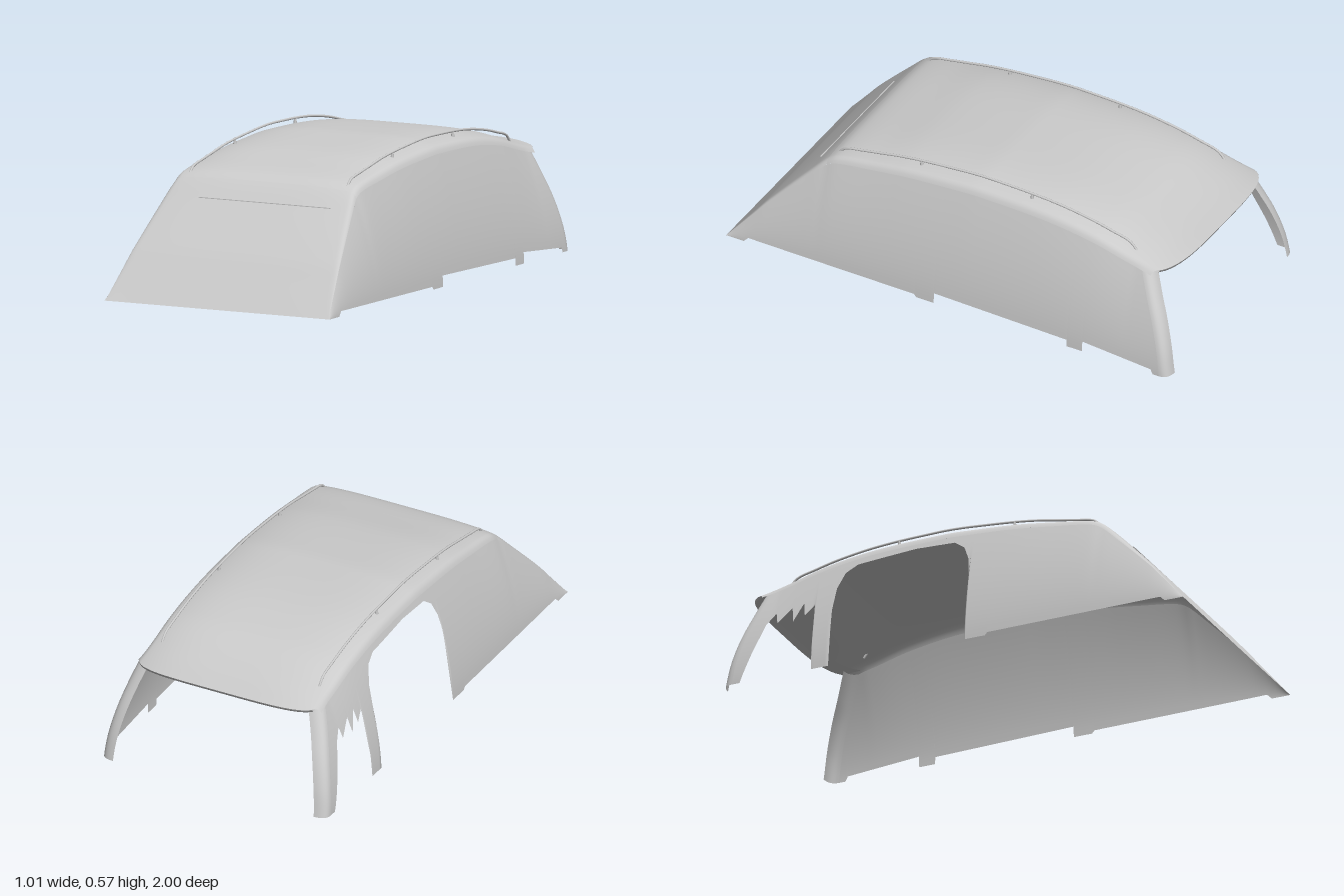
import * as THREE from 'three';

const V = (x, y, z) => new THREE.Vector3(x, y, z);
const material = new THREE.MeshStandardMaterial({ color: 0xcccccc, side: THREE.DoubleSide });

// Interpolates [z, value] points listed from front to rear, straight or smooth
function along(points, smooth = false) {
  const n = points.length;
  const slope = i => {
    const a = points[Math.max(i - 1, 0)], b = points[Math.min(i + 1, n - 1)];
    return (b[1] - a[1]) / (b[0] - a[0]);
  };
  return z => {
    let i = 0;
    while (i < n - 2 && z < points[i + 1][0]) i++;
    const [z0, a] = points[i], [z1, b] = points[i + 1], h = z1 - z0;
    const t = THREE.MathUtils.clamp((z - z0) / h, 0, 1);
    if (!smooth) return a + (b - a) * t;
    const t2 = t * t, t3 = t2 * t;
    return a * (2 * t3 - 3 * t2 + 1) + b * (3 * t2 - 2 * t3)
      + h * (slope(i) * (t3 - 2 * t2 + t) + slope(i + 1) * (t3 - t2));
  };
}

// Skin through rows of points
function sheet(rows, flip = false) {
  const w = rows[0].length, index = [];
  for (let i = 0; i < rows.length - 1; i++) {
    for (let j = 0; j < w - 1; j++) {
      const a = i * w + j, b = a + 1, c = a + w, d = c + 1;
      index.push(...(flip ? [a, c, b, b, c, d] : [a, b, c, b, d, c]));
    }
  }
  const g = new THREE.BufferGeometry().setFromPoints(rows.flat());
  g.setIndex(index);
  g.computeVertexNormals();
  return g;
}

// Centre line of windscreen and roof, and the drop from it to the roof edge
const crown = along([[1, 0], [0.9, 0.125], [0.84, 0.2], [0.68, 0.375], [0.6, 0.457], [0.55, 0.483],
  [0.4, 0.514], [0.25, 0.54], [0, 0.562], [-0.1, 0.566], [-0.39, 0.554], [-0.6, 0.522],
  [-0.76, 0.478], [-0.87, 0.452], [-0.97, 0.436]], true);
const drop = along([[1, 0], [0.6, 0.015], [0.3, 0.03], [-0.1, 0.036], [-0.87, 0.032]]);
const edgeY = z => crown(z) - drop(z);
const edgeX = z => 0.4 + 0.1 * Math.max(0, (z - 0.6) / 0.4);

// Half width of the body at a height
function sideX(y, z) {
  const t = y / Math.max(edgeY(Math.max(z, -0.8)), 1e-4);
  return 0.505 - (0.505 - edgeX(z)) * Math.pow(Math.max(t, 0), 1.6);
}

// Roof point at u = -1..1 across; the tail bows out rearwards
function roofPoint(u, z) {
  const bow = 0.1 * Math.pow(1 - u ** 4, 0.6) * Math.max(0, (-0.7 - z) / 0.17);
  return V(u * edgeX(z), crown(z - bow) - drop(z) * u ** 4, z - bow);
}

// Roof section with rounded shoulders
function roofRow(z) {
  const shoulder = s => {
    const y = edgeY(z) * 0.95;
    return new THREE.QuadraticBezierCurve3(V(s * sideX(y, z), y, z),
      V(s * edgeX(z), edgeY(z), z), roofPoint(s * 0.95, z)).getPoints(4);
  };
  const row = shoulder(-1);
  for (let k = 1; k < 40; k++) row.push(roofPoint(-0.95 + 1.9 * k / 40, z));
  return row.concat(shoulder(1).reverse());
}

const span = (from, to, n) => Array.from({ length: n + 1 }, (_, i) => from + (to - from) * i / n);

// Lower edges of the closed left side and the right side with its openings
const frontSill = [[1, 0], [0.92, 0], [0.9, 0.02], [0.15, 0.012], [0.14, 0]];
const leftSill = [...frontSill, [0.061, 0], [0.06, 0.045], [-0.54, 0.03], [-0.541, 0], [-0.61, 0],
  [-0.611, 0.045], [-0.92, 0.02], [-0.93, 0], [-0.96, 0]];
const rightSill = [...frontSill, [0.051, 0], [0.05, 0.3], [0.04, 0.38], [0.015, 0.44], [-0.03, 0.473],
  [-0.2, 0.48], [-0.45, 0.46], [-0.5, 0.43], [-0.53, 0.36], [-0.54, 0.26], [-0.541, 0], [-0.615, 0],
  [-0.62, 0.3], [-0.66, 0.26], [-0.67, 0.32], [-0.71, 0.24], [-0.72, 0.31], [-0.78, 0.25],
  [-0.79, 0.3], [-0.83, 0.25], [-0.84, 0.22], [-0.88, 0.12], [-0.925, 0], [-0.96, 0]];

// Rear edge of the sides
const rearEdge = [[-0.83, edgeY(-0.83) * 0.95], [-0.87, 0.31], [-0.91, 0.21], [-0.942, 0.1], [-0.96, 0]];
const rearY = along(rearEdge, true);
const upper = z => (z > -0.83 ? edgeY(z) * 0.95 : rearY(z));

function sidePanel(sill, s) {
  const lower = along(sill);
  const stations = [...span(1, -0.83, 120), ...span(-0.83, -0.96, 26), ...sill.map(p => p[0])];
  const zs = [...new Set(stations.map(z => +z.toFixed(5)))].sort((a, b) => b - a);
  return sheet(zs.map(z => {
    const top = upper(z);
    return span(Math.min(lower(z), top), top, 16).map(y => V(s * sideX(y, z), y, z));
  }), s > 0);
}

// Rounded return of a rear pillar towards the tailgate opening
function rearPillar(s) {
  const rows = span(-0.96, -0.83, 26).map(z => {
    const y = rearY(z), x = sideX(y, z);
    return new THREE.QuadraticBezierCurve3(V(s * x, y, z), V(s * x, y, z - 0.04),
      V(s * (x - 0.055), y, z - 0.04)).getPoints(8);
  });
  return sheet(rows, s < 0);
}

export function createModel() {
  const group = new THREE.Group();
  const add = (name, geometry) => {
    const mesh = new THREE.Mesh(geometry, material);
    mesh.name = name;
    group.add(mesh);
    return mesh;
  };

  add('windscreen', sheet(span(1, 0.6, 30).map(roofRow)));
  add('roof', sheet(span(0.6, -0.87, 90).map(roofRow)));
  add('leftSide', sidePanel(leftSill, 1));
  add('rightSide', sidePanel(rightSill, -1));

  // Tail lip folded under the rear of the roof
  const tail = span(-0.97, 0.97, 40).map(u => roofPoint(u, -0.87));
  add('roofTailLip', sheet([tail, tail.map(p => V(p.x, p.y - 0.012, p.z + 0.006)),
    tail.map(p => V(p.x, 0.41, p.z + 0.09))]));

  for (const s of [1, -1]) {
    const side = s > 0 ? 'left' : 'right';
    add(side + 'RearPillar', rearPillar(s));

    // Roof rail dipping to the roof at both ends, with small feet between
    const x = s * 0.353, u = 0.353 / 0.4;
    const path = [V(x, roofPoint(u, 0.57).y - 0.004, 0.57),
      ...span(0.545, -0.745, 16).map(z => V(x, crown(z), z)),
      V(x, roofPoint(u, -0.78).y - 0.004, -0.78)];
    add(side + 'RoofRail', new THREE.TubeGeometry(new THREE.CatmullRomCurve3(path), 80, 0.005, 8));
    for (const z of [0.2, -0.3]) {
      const foot = add(side + 'RailFoot', new THREE.CylinderGeometry(0.005, 0.007, 0.026, 10));
      foot.position.set(x, crown(z) - 0.012, z);
    }
  }

  // Thin strip across the upper windscreen
  const strip = add('windscreenStrip', new THREE.BoxGeometry(0.59, 0.003, 0.004));
  strip.position.set(0.035, 0.385, 0.671);
  return group;
}
